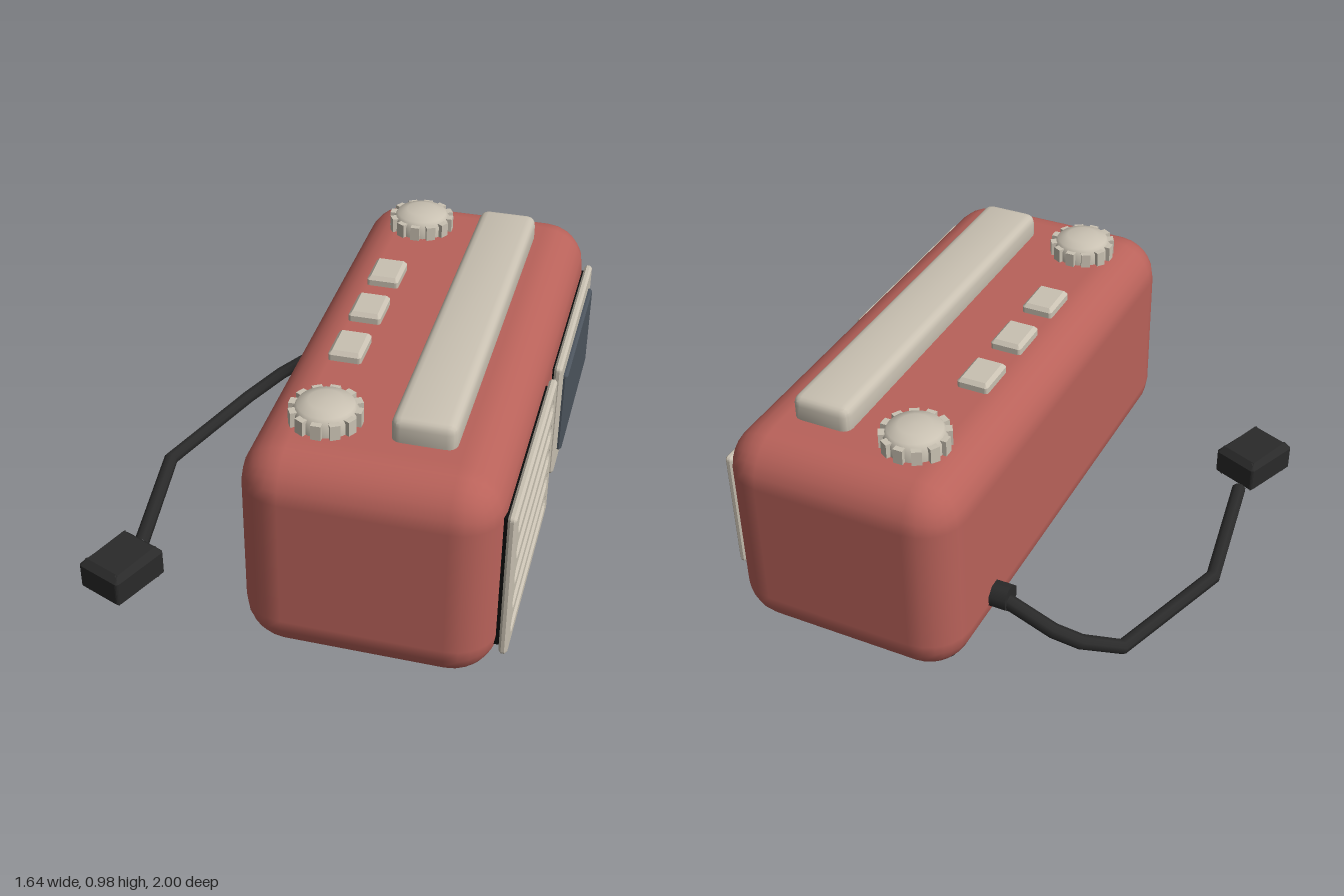
import * as THREE from 'three';
import { toCreasedNormals } from 'three/addons/utils/BufferGeometryUtils.js';
import { RoundedBoxGeometry } from 'three/addons/geometries/RoundedBoxGeometry.js';

const mat = (name, color) => new THREE.MeshStandardMaterial({ name, color });

// Rectangle with rounded corners, optionally offset vertically
function roundRect(w, h, r, cy = 0, make = THREE.Shape) {
  const s = new make(), x = w / 2, y = h / 2;
  s.moveTo(-x + r, cy - y);
  s.lineTo(x - r, cy - y);
  s.absarc(x - r, cy - y + r, r, -Math.PI / 2, 0);
  s.absarc(x - r, cy + y - r, r, 0, Math.PI / 2);
  s.absarc(-x + r, cy + y - r, r, Math.PI / 2, Math.PI);
  s.absarc(-x + r, cy - y + r, r, Math.PI, Math.PI * 1.5);
  return s;
}

// Bevelled slab, centred; thickness runs along z
function slab(shape, thick, bevel, curveSegments = 2) {
  const g = new THREE.ExtrudeGeometry(shape, {
    depth: thick - 2 * bevel, bevelThickness: bevel, bevelSize: bevel,
    bevelOffset: -bevel, bevelSegments: 1, curveSegments,
  });
  return g.translate(0, 0, -(thick - 2 * bevel) / 2);
}

export function createModel() {
  const red = mat('redShell', 0xb9625a);
  const cream = mat('creamTrim', 0xc9c1b2);
  const black = mat('blackRubber', 0x2a2a2a);
  const dark = mat('grilleShadow', 0x0c0c0c);
  const glass = mat('displayGlass', 0x4c545d);
  const model = new THREE.Group();
  model.name = 'radio';
  const add = (name, geometry, material, x, y, z, parent = model) => {
    const m = new THREE.Mesh(geometry, material);
    m.name = name;
    m.position.set(x, y, z);
    parent.add(m);
    return m;
  };

  // Shell
  add('body', new RoundedBoxGeometry(0.905, 0.835, 2, 3, 0.165), red, 0.3125, 0.4775, 0);

  // Speaker grille: slotted plate over a dark backing
  const plate = roundRect(0.85, 0.595, 0.015);
  for (let i = -2; i <= 2; i++) {
    plate.holes.push(roundRect(0.72, 0.055, 0.0274, i * 0.1095, THREE.Path));
  }
  add('speakerGrille', slab(plate, 0.03, 0.009).rotateY(Math.PI / 2), cream, 0.788, 0.463, 0.475);
  add('grilleBacking', new THREE.BoxGeometry(0.03, 0.55, 0.8), dark, 0.763, 0.463, 0.475);

  // Display
  add('displayFrame', slab(roundRect(0.82, 0.49, 0.015), 0.03, 0.009).rotateY(Math.PI / 2),
    cream, 0.788, 0.481, -0.475);
  add('displayBacking', new THREE.BoxGeometry(0.03, 0.45, 0.77), dark, 0.763, 0.481, -0.475);
  add('displayScreen', slab(roundRect(0.68, 0.35, 0.01), 0.045, 0.009).rotateY(Math.PI / 2),
    glass, 0.797, 0.481, -0.475);

  // Top bar
  add('topBar', toCreasedNormals(new RoundedBoxGeometry(0.225, 0.13, 1.54, 2, 0.035), 0.5),
    cream, 0.46, 0.92, 0);

  // Two ribbed knobs
  const profile = [[0.113, 0.885], [0.113, 0.938], [0.098, 0.961], [0.06, 0.974], [0, 0.979]]
    .map(([x, y]) => new THREE.Vector2(x, y));
  const capGeo = toCreasedNormals(new THREE.LatheGeometry(profile, 24), 0.7);
  const ribGeo = new THREE.BoxGeometry(0.03, 0.06, 0.036);
  for (const z of [-0.717, 0.702]) {
    const knob = new THREE.Group();
    knob.name = 'knob';
    knob.position.set(0.112, 0, z);
    add('knobCap', capGeo, cream, 0, 0, 0, knob);
    for (let i = 0; i < 12; i++) {
      const a = (i / 12) * Math.PI * 2;
      add('knobRib', ribGeo, cream, 0.112 * Math.cos(a), 0.92, 0.112 * Math.sin(a), knob)
        .rotation.y = -a;
    }
    model.add(knob);
  }

  // Push buttons
  const buttonGeo = slab(roundRect(0.122, 0.165, 0.012), 0.06, 0.014).rotateX(-Math.PI / 2);
  for (const z of [-0.28, -0.007, 0.268]) add('button', buttonGeo, cream, 0.078, 0.902, z);

  // Feet
  const footProfile = [[0, 0.004], [0.052, 0.004], [0.068, 0.018], [0.068, 0.045], [0.055, 0.058], [0.055, 0.08]]
    .map(([x, y]) => new THREE.Vector2(x, y));
  const footGeo = toCreasedNormals(new THREE.LatheGeometry(footProfile, 16), 0.5);
  for (const x of [0.02, 0.605]) for (const z of [-0.772, 0.772]) add('foot', footGeo, black, x, 0, z);

  // Power cord with straight runs between its bends
  add('cordSocket', new THREE.CylinderGeometry(0.053, 0.053, 0.09, 8).rotateZ(Math.PI / 2)
    .rotateX(Math.PI / 8), black, -0.16, 0.24, -0.645);
  const path = new THREE.CatmullRomCurve3([
    [-0.14, 0.242, -0.645], [-0.21, 0.226, -0.656], [-0.39, 0.18, -0.677], [-0.48, 0.125, -0.635],
    [-0.6, 0.05, -0.524], [-0.77, 0.043, -0.016], [-0.685, 0.043, 0.54],
  ].map((p) => new THREE.Vector3(...p)));
  path.getPointAt = path.getPoint;
  path.getTangentAt = path.getTangent;
  add('cord', new THREE.TubeGeometry(path, 6, 0.029, 8), black, 0, 0, 0);
  add('cordEnd', new THREE.CircleGeometry(0.029, 8), black, -0.685, 0.043, 0.54).rotation.y = 0.15;

  // Plug lying beside the radio
  add('plug', slab(roundRect(0.2, 0.25, 0.015), 0.145, 0.025).rotateX(-Math.PI / 2),
    black, -0.685, 0.077, 0.72).rotation.y = -0.39;

  return model;
}
